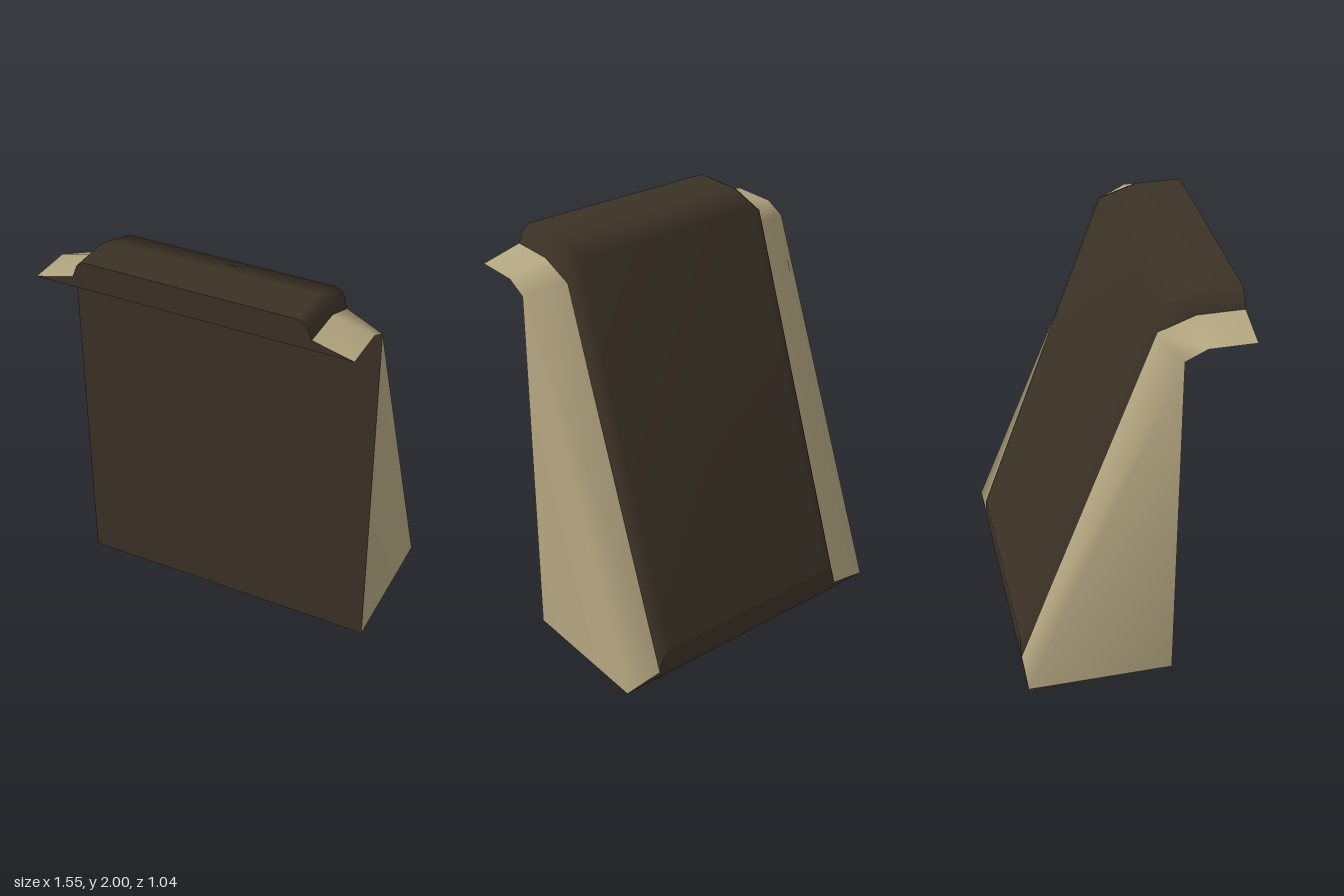
import * as THREE from 'three';

const dark = new THREE.MeshStandardMaterial({ color: 0x3c3226, side: THREE.DoubleSide });
dark.name = 'dark brown';
const tan = new THREE.MeshStandardMaterial({ color: 0xb3a580, side: THREE.DoubleSide });
tan.name = 'tan';

// Each level runs lengthwise as [z, y] stations: front end, two bends, foot
const rim = { x: 0.775, path: [[0.52, 1.865], [0.3, 1.865], [0.2, 1.815], [-0.52, 0]] };
const step = { x: 0.58, path: [[0.52, 1.915], [0.3, 1.915], [0.13, 1.85], [-0.52, 0.03]] };
const shoulder = { x: 0.555, path: [[0.52, 1.978], [0.3, 1.978], [0.122, 1.92], [-0.52, 0.115]] };
const crown = { x: 0.515, path: [[0.52, 2], [0.3, 2], [0.12, 1.94], [-0.52, 0.14]] };

const row = (level, side, count = 4) =>
  level.path.slice(0, count).map(([z, y]) => [side * level.x, y, z]);

// Smooth surface through rows of points, with optional extra corner and faces
function loft(rows, extraPoints = [], extraFaces = []) {
  const n = rows[0].length, index = [];
  for (let r = 0; r < rows.length - 1; r++) {
    for (let i = 0; i < n - 1; i++) {
      const a = r * n + i, b = a + n;
      index.push(a, b, a + 1, b, b + 1, a + 1);
    }
  }
  index.push(...extraFaces);
  const geo = new THREE.BufferGeometry();
  const points = [...rows.flat(), ...extraPoints].flat();
  geo.setAttribute('position', new THREE.Float32BufferAttribute(points, 3));
  geo.setIndex(index);
  geo.computeVertexNormals();
  return geo;
}

// Flat end with the outline of the section at one station
function endCap(station) {
  const half = [rim, step, shoulder, crown].map(l => [l.x, l.path[station][1]]);
  const outline = [...half, ...half.map(([x, y]) => [-x, y]).reverse()];
  return new THREE.ShapeGeometry(new THREE.Shape(outline.map(p => new THREE.Vector2(...p))));
}

export function createModel() {
  const group = new THREE.Group();
  const add = (name, geo, material) => {
    const mesh = new THREE.Mesh(geo, material);
    mesh.name = name;
    group.add(mesh);
    return mesh;
  };

  // Raised cover over the sloping back and top overhang
  add('cover', loft([
    row(step, -1), row(shoulder, -1), row(crown, -1),
    row(crown, 1), row(shoulder, 1), row(step, 1),
  ].reverse()), dark);

  // Side trim: flange along the cover blending into the triangular side panel
  for (const side of [-1, 1]) {
    const rows = [row(step, side), row(rim, side)];
    const faces = [6, 8, 7];
    const geo = loft(rows, [[side * rim.x, 0, 0.2]], faces);
    if (side > 0) {
      // mirrored side needs the opposite corner order
      const ix = geo.index.array;
      for (let i = 0; i < ix.length; i += 3) [ix[i], ix[i + 1]] = [ix[i + 1], ix[i]];
      geo.computeVertexNormals();
    }
    add(side > 0 ? 'leftSide' : 'rightSide', geo, tan);
  }

  // Front panel; the bottom stays open
  const front = add('frontPanel', new THREE.PlaneGeometry(1.55, 1.815), dark);
  front.position.set(0, 1.815 / 2, 0.2);

  // Underside of the overhang
  add('overhangUnderside', loft([row(rim, -1, 3), row(rim, 1, 3)]), dark);

  // Closed ends of the cover
  add('overhangEnd', endCap(0), dark).position.z = 0.52;
  const foot = add('footEnd', endCap(3), dark);
  foot.position.z = -0.52;
  foot.rotation.y = Math.PI;

  return group;
}
